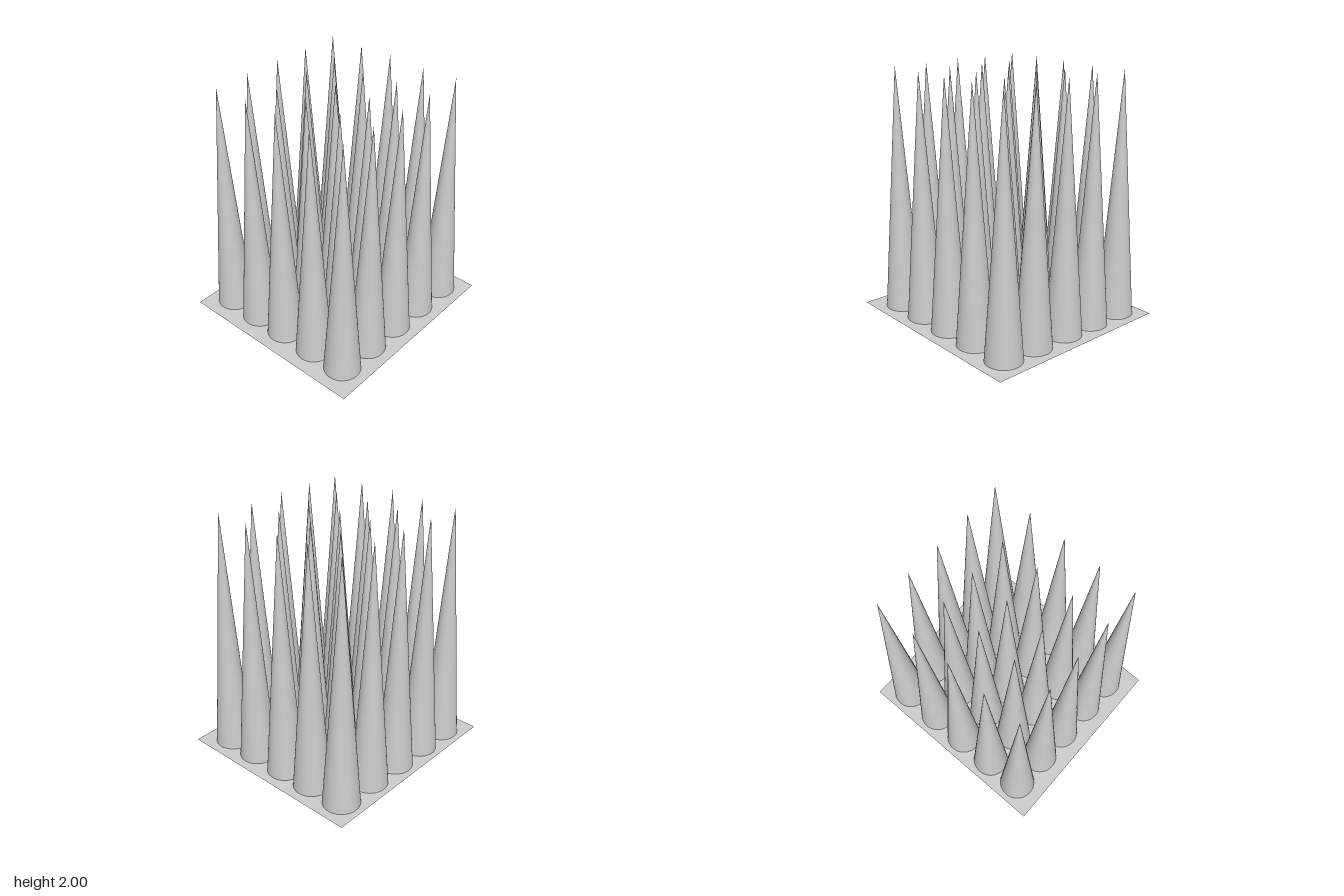
import * as THREE from 'three';

export function createModel() {
  const model = new THREE.Group();
  const grey = new THREE.MeshStandardMaterial({ color: 0xcccccc });
  const sheet = new THREE.MeshStandardMaterial({ color: 0xcccccc, side: THREE.DoubleSide });

  // Thin sheet the spikes pass through, slightly above their bases
  const base = new THREE.Mesh(new THREE.PlaneGeometry(1.68, 1.59).rotateX(-Math.PI / 2), sheet);
  base.name = 'basePlate';
  base.position.y = 0.04;
  model.add(base);

  // Five by five slightly uneven grid of tall closed cones
  const columns = [-0.605, -0.305, 0.003, 0.31, 0.63];
  const rows = [-0.605, -0.307, -0.024, 0.287, 0.576];
  const cone = new THREE.ConeGeometry(0.147, 2, 64).translate(0, 1, 0);
  const spikes = new THREE.Group();
  spikes.name = 'spikes';
  rows.forEach((z, r) => columns.forEach((x, c) => {
    const spike = new THREE.Mesh(cone, grey);
    spike.name = `spikeRow${r + 1}Column${c + 1}`;
    spike.position.set(x, 0, z);
    spikes.add(spike);
  }));
  model.add(spikes);

  return model;
}
